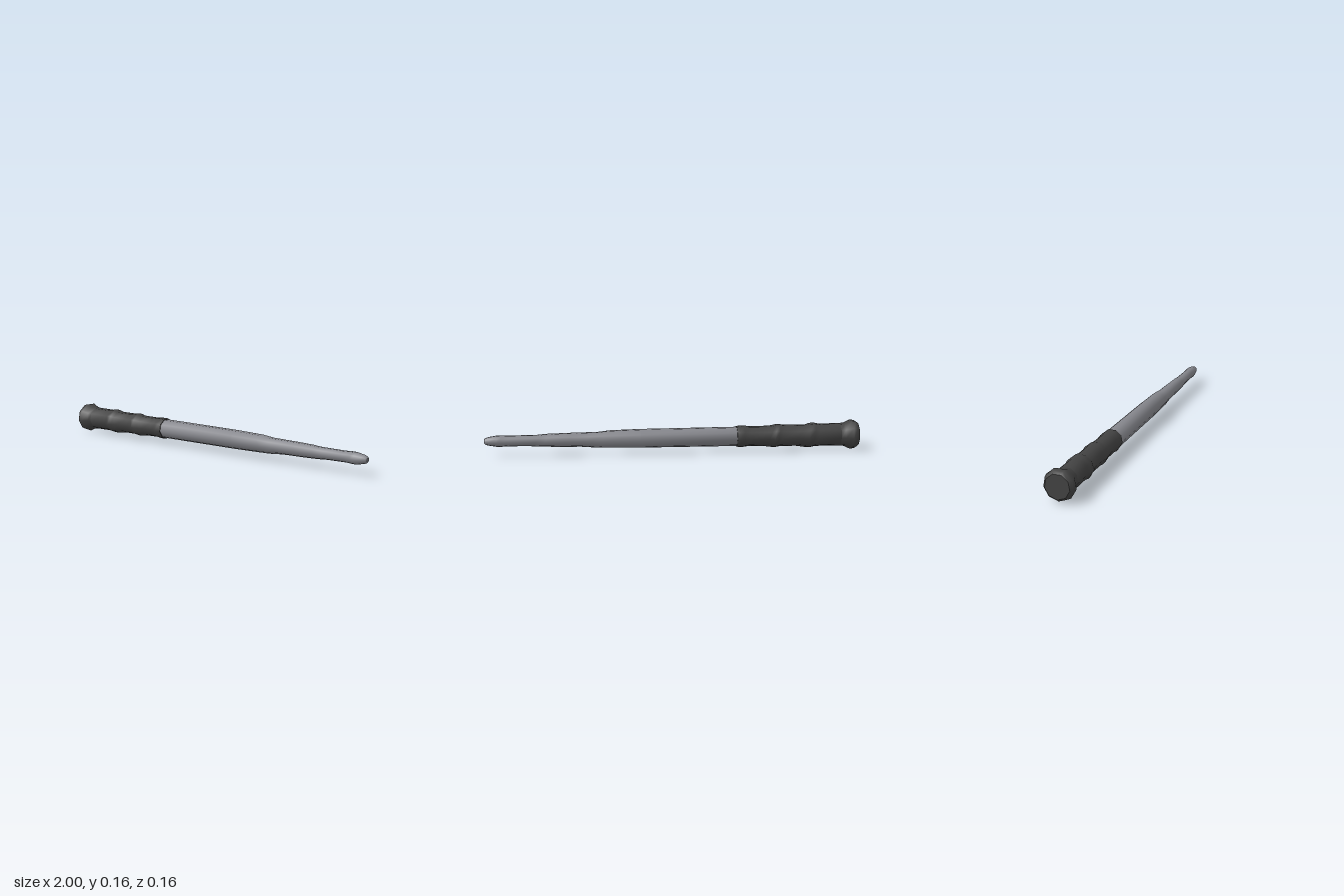
import * as THREE from 'three';

const SIDES = 9, AXIS_Y = 0.0815;

// Lofts nine-sided rings along x. Each ring is [x, radius, tilt, phase];
// tilt slants the ring along x so knots wind around the rod.
function loft(rings, capStart, capEnd) {
  const pos = [], idx = [];
  const addRing = ([x, r, tilt = 0, phase = 0]) => {
    const first = pos.length / 3;
    for (let j = 0; j < SIDES; j++) {
      const a = Math.PI + (j / SIDES) * Math.PI * 2;
      pos.push(x - tilt * Math.cos(a - phase), AXIS_Y + r * Math.cos(a), r * Math.sin(a));
    }
    return first;
  };
  const starts = rings.map(addRing);
  for (let i = 0; i < rings.length - 1; i++) {
    for (let j = 0; j < SIDES; j++) {
      const k = (j + 1) % SIDES;
      const a = starts[i] + j, b = starts[i] + k, c = starts[i + 1] + j, d = starts[i + 1] + k;
      idx.push(a, b, c, b, d, c);
    }
  }
  // End caps use their own vertices so the rim stays sharp
  const cap = (ring, flip) => {
    const s = addRing(ring), centre = pos.length / 3;
    pos.push(ring[0], AXIS_Y, 0);
    for (let j = 0; j < SIDES; j++) {
      const k = (j + 1) % SIDES;
      idx.push(centre, s + (flip ? k : j), s + (flip ? j : k));
    }
  };
  if (capStart) cap(rings[0], true);
  if (capEnd) cap(rings[rings.length - 1], false);
  const g = new THREE.BufferGeometry();
  g.setAttribute('position', new THREE.Float32BufferAttribute(pos, 3));
  g.setIndex(idx);
  g.computeVertexNormals();
  return g;
}

export function createModel() {
  const group = new THREE.Group();
  group.name = 'wand';
  const darkGrip = new THREE.MeshStandardMaterial({ color: 0x434343 });
  darkGrip.name = 'darkGrip';
  const greyShaft = new THREE.MeshStandardMaterial({ color: 0x85868c });
  greyShaft.name = 'greyShaft';

  const add = (name, geometry, material) => {
    const mesh = new THREE.Mesh(geometry, material);
    mesh.name = name;
    group.add(mesh);
  };

  // Flared end knob
  add('pommel', loft([
    [-1, 0.064], [-0.985, 0.077], [-0.963, 0.0815], [-0.925, 0.064], [-0.9, 0.062],
  ], true, false), darkGrip);

  // Grip with three slanted knots
  add('handle', loft([
    [-0.9, 0.062], [-0.78, 0.061, 0.012], [-0.752, 0.067, 0.012], [-0.725, 0.066, 0.012],
    [-0.685, 0.058, 0.03, 0.6], [-0.59, 0.058, 0.02, 0.6], [-0.56, 0.0625, 0.01],
    [-0.54, 0.062, 0.01], [-0.5, 0.055, 0.025, -0.6], [-0.41, 0.054, 0.01],
    [-0.375, 0.058], [-0.35, 0.058], [-0.335, 0.056],
  ], false, true), darkGrip);

  // Tapering shaft with two slanted steps and a small swollen tip
  add('shaft', loft([
    [-0.34, 0.0525], [0.18, 0.0505], [0.37, 0.0465, 0.03, 0.4], [0.45, 0.039, 0.045, 0.4],
    [0.58, 0.037, 0.03, -0.5], [0.69, 0.034, 0.02, -0.5], [0.74, 0.03, 0.03, -0.5],
    [0.87, 0.0285, 0.01], [0.915, 0.031, 0.004], [0.935, 0.03],
    [0.975, 0.023], [0.993, 0.018], [1, 0.01],
  ], false, true), greyShaft);

  return group;
}
